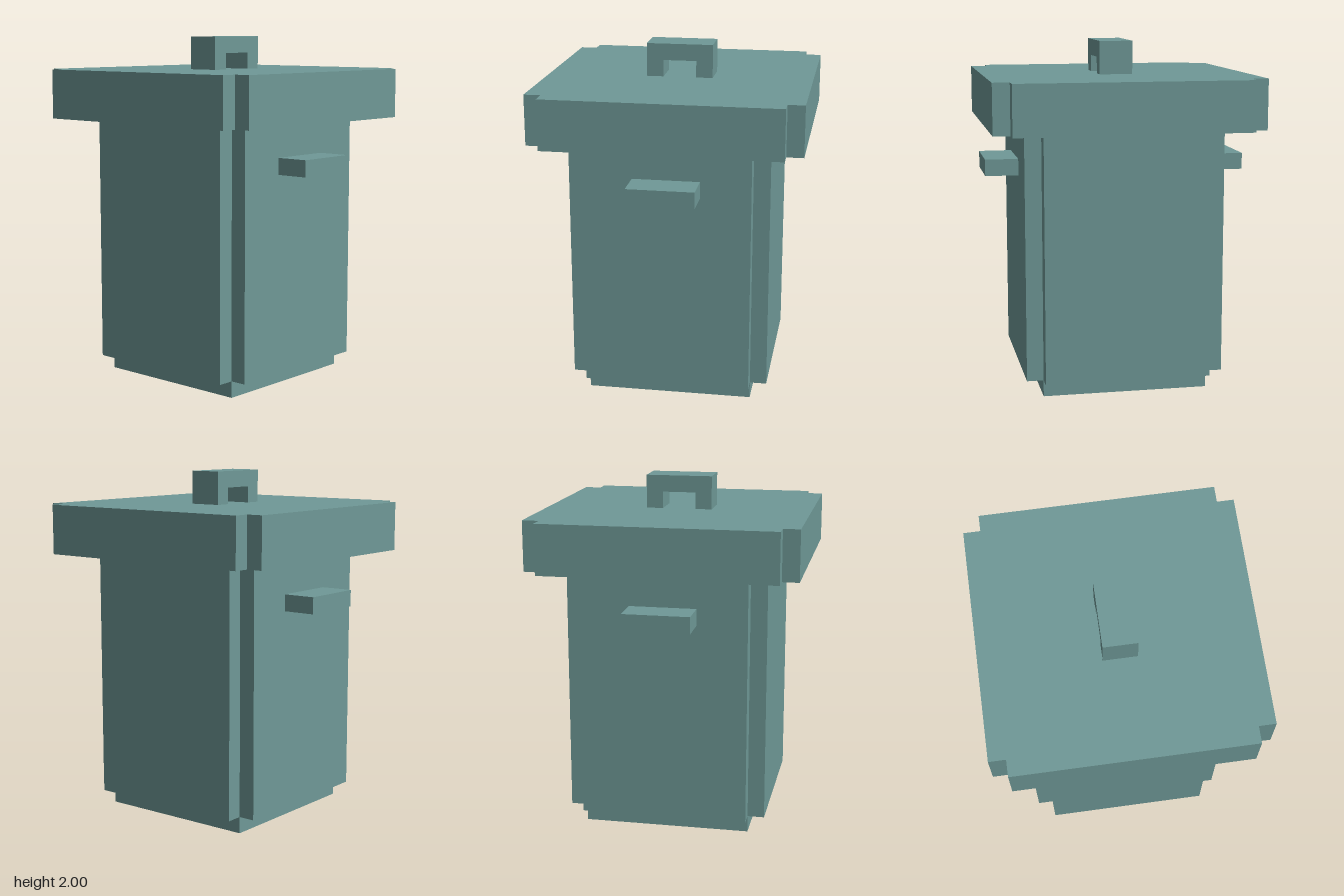
import * as THREE from 'three';

const U = 2 / 21; // modelling unit

// Square prism with a one-unit notch cut out of each vertical corner
function notchedPrism(half, y0, y1) {
  const a = half * U, b = (half - 1) * U;
  const pts = [];
  for (let i = 0; i < 4; i++) {
    const c = Math.round(Math.cos(i * Math.PI / 2)), s = Math.round(Math.sin(i * Math.PI / 2));
    for (const [x, y] of [[a, -b], [a, b], [b, b]]) pts.push(new THREE.Vector2(x * c - y * s, x * s + y * c));
  }
  const geo = new THREE.ExtrudeGeometry(new THREE.Shape(pts), { depth: (y1 - y0) * U, bevelEnabled: false });
  return geo.rotateX(-Math.PI / 2).translate(0, y0 * U, 0);
}

export function createModel() {
  const group = new THREE.Group();
  const paint = new THREE.MeshStandardMaterial({ color: 0x6f9997 });
  paint.name = 'greyTeal';

  const add = (name, geo) => {
    const mesh = new THREE.Mesh(geo, paint);
    mesh.name = name;
    group.add(mesh);
    return mesh;
  };

  // Base, body and lid
  add('base', new THREE.BoxGeometry(10 * U, U, 10 * U).translate(0, U / 2, 0));
  add('body', notchedPrism(6, 1, 16));
  add('lid', notchedPrism(8, 16, 19));

  // Arched handle on the lid, with its opening running along x
  const arch = new THREE.Shape([[-2, 0], [-1, 0], [-1, 1], [1, 1], [1, 0], [2, 0], [2, 2], [-2, 2]]
    .map(([x, y]) => new THREE.Vector2(x * U, y * U)));
  add('lidHandle', new THREE.ExtrudeGeometry(arch, { depth: 2 * U, bevelEnabled: false })
    .translate(0, 0, -U).rotateY(Math.PI / 2).translate(0, 19 * U, 0));

  // Side grips
  for (const [name, side] of [['leftGrip', 1], ['rightGrip', -1]]) {
    add(name, new THREE.BoxGeometry(2 * U, U, 4 * U)).position.set(side * 7 * U, 13.5 * U, 0);
  }

  return group;
}
